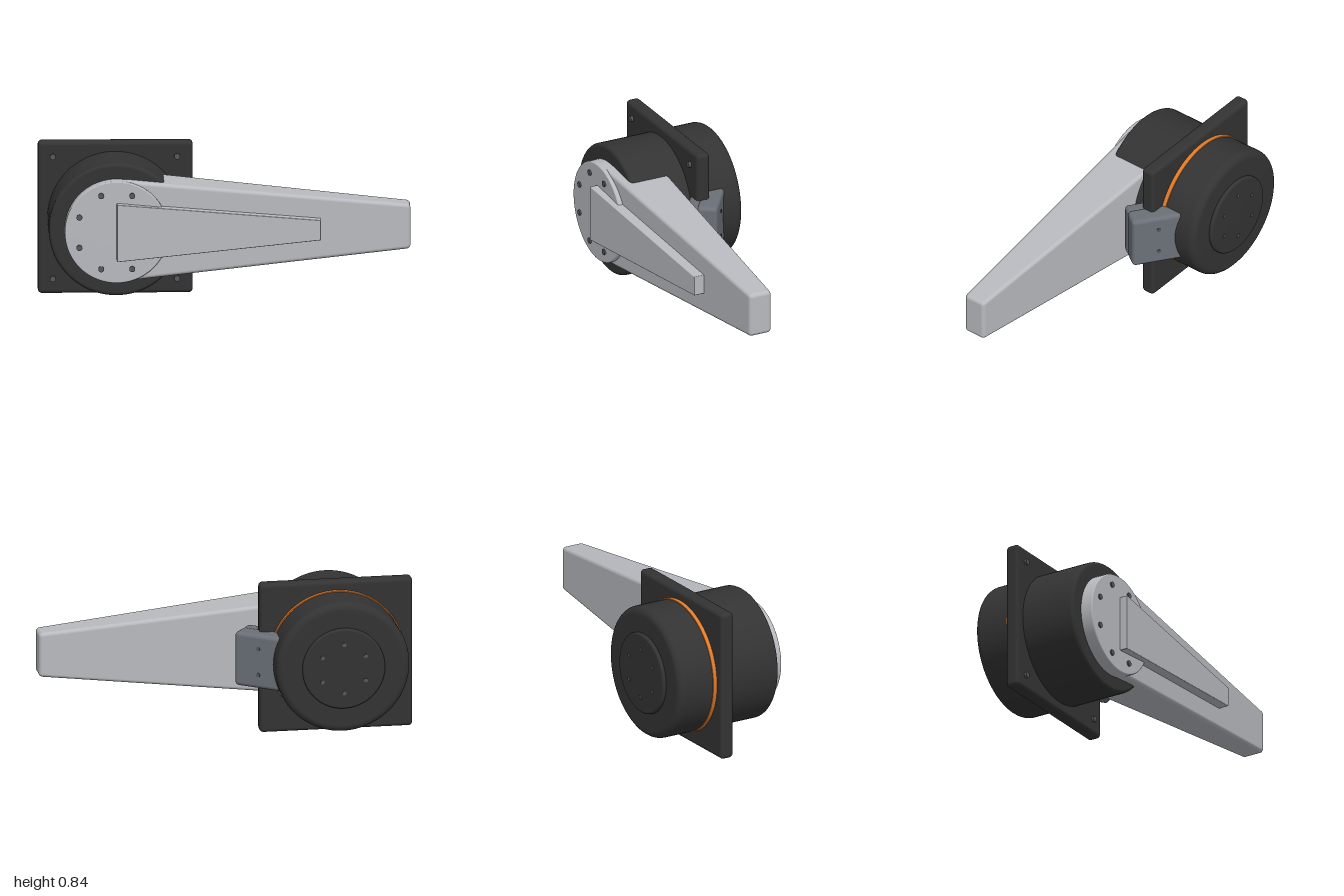
import * as THREE from 'three';
import { RoundedBoxGeometry } from 'three/addons/geometries/RoundedBoxGeometry.js';

const CX = -0.585, CY = 0.42; // axis of the drum

export function createModel() {
  const group = new THREE.Group();
  const mat = (name, color) => {
    const m = new THREE.MeshStandardMaterial({ color });
    m.name = name;
    return m;
  };
  const black = mat('black housing', 0x333333);
  const metal = mat('light metal', 0xb8babf);
  const slate = mat('slate grey', 0x6b7078);
  const steel = mat('dark steel', 0x56585d);
  const orange = mat('orange seal', 0xe07b2a);

  const add = (name, geometry, material, x = 0, y = 0, z = 0, parent = group) => {
    const mesh = new THREE.Mesh(geometry, material);
    mesh.name = name;
    mesh.position.set(x, y, z);
    parent.add(mesh);
    return mesh;
  };

  // Solid disc along z from z0 to z1, with rounded rims
  const disc = (r, z0, z1, f0, f1) => {
    const pts = [new THREE.Vector2(0, z0)];
    const n = 6;
    for (let i = 0; i <= n; i++) {
      const a = (i / n) * Math.PI / 2;
      pts.push(new THREE.Vector2(r - f0 + f0 * Math.sin(a), z0 + f0 - f0 * Math.cos(a)));
    }
    for (let i = 0; i <= n; i++) {
      const a = (i / n) * Math.PI / 2;
      pts.push(new THREE.Vector2(r - f1 + f1 * Math.cos(a), z1 - f1 + f1 * Math.sin(a)));
    }
    pts.push(new THREE.Vector2(0, z1));
    return new THREE.LatheGeometry(pts, 72).rotateX(Math.PI / 2);
  };

  // Rounded bar along x, tapering between two ends { x, h: half height, back, front }
  const taperedBar = (a, b, radius) => {
    const L = b.x - a.x, D = a.front - a.back;
    const g = new RoundedBoxGeometry(L, a.h * 2, D, 4, radius);
    const p = g.attributes.position, nm = g.attributes.normal;
    const v = new THREE.Vector3();
    for (let i = 0; i < p.count; i++) {
      const t = p.getX(i) / L + 0.5, y = p.getY(i), z = p.getZ(i);
      const hSlope = (b.h - a.h) / L;
      const zSlope = (z > 0 ? b.front - a.front : b.back - a.back) / L;
      p.setXYZ(i, a.x + t * L, y + Math.sign(y) * hSlope * L * t,
        z + (a.front + a.back) / 2 + zSlope * L * t);
      v.set(nm.getX(i) - Math.abs(nm.getY(i)) * hSlope - nm.getZ(i) * zSlope,
        nm.getY(i), nm.getZ(i)).normalize();
      nm.setXYZ(i, v.x, v.y, v.z);
    }
    return g;
  };

  // Drum, mounting plate and seal
  add('drumHousing', disc(0.364, -0.36, 0.27, 0.04, 0.02), black, CX, CY);
  add('rearCap', disc(0.225, -0.38, -0.34, 0.012, 0.005), black, CX, CY);
  add('mountingPlate', new RoundedBoxGeometry(0.834, 0.836, 0.078, 4, 0.022), black, CX + 0.002, CY, -0.088);
  add('sealRing', disc(0.369, -0.15, -0.12, 0.001, 0.001), orange, CX, CY);
  add('frontHub', disc(0.28, 0.26, 0.34, 0.005, 0.008), metal, CX, CY);

  // Tapered arm with a raised spine on its front
  add('arm', taperedBar(
    { x: -0.55, h: 0.277, back: 0.027, front: 0.324 },
    { x: 1.0, h: 0.122, back: 0.112, front: 0.243 }, 0.02), metal, 0, CY + 0.003);
  add('armSpine', taperedBar(
    { x: -0.585, h: 0.158, back: 0.3, front: 0.385 },
    { x: 0.515, h: 0.055, back: 0.24, front: 0.327 }, 0.004), metal, 0, CY + 0.003);

  // Bolts
  const boltGeo = new THREE.CylinderGeometry(0.016, 0.016, 0.03, 16).rotateX(Math.PI / 2);
  const smallBoltGeo = new THREE.CylinderGeometry(0.011, 0.011, 0.03, 16).rotateX(Math.PI / 2);
  for (let i = 0; i < 8; i++) {
    const a = (i + 0.5) * Math.PI / 4;
    add('hubBolt', boltGeo, steel, CX + 0.218 * Math.cos(a), CY + 0.218 * Math.sin(a), 0.333);
  }
  for (let i = 0; i < 6; i++) {
    const a = (i + 0.5) * Math.PI / 3;
    add('capBolt', smallBoltGeo, steel, CX + 0.136 * Math.cos(a), CY + 0.136 * Math.sin(a), -0.37);
  }
  for (const sx of [-1, 1]) for (const sy of [-1, 1]) {
    add('plateBolt', boltGeo, steel, CX + sx * 0.335, CY + sy * 0.336, -0.05);
  }

  // Angled side connector: local x points outward, local z towards the arm
  const connector = new THREE.Group();
  connector.name = 'sideConnector';
  connector.position.set(-0.03, CY, -0.097);
  connector.rotation.y = -0.625;
  group.add(connector);
  add('connectorBody', new RoundedBoxGeometry(0.36, 0.302, 0.115, 4, 0.022), slate, -0.18, 0, 0.0575, connector);
  add('connectorCover', new RoundedBoxGeometry(0.36, 0.302, 0.07, 4, 0.02), slate, -0.18, 0, 0.133, connector);
  for (const s of [-1, 1]) add('connectorBolt', smallBoltGeo, steel, -0.145, s * 0.073, 0.011, connector);

  return group;
}
